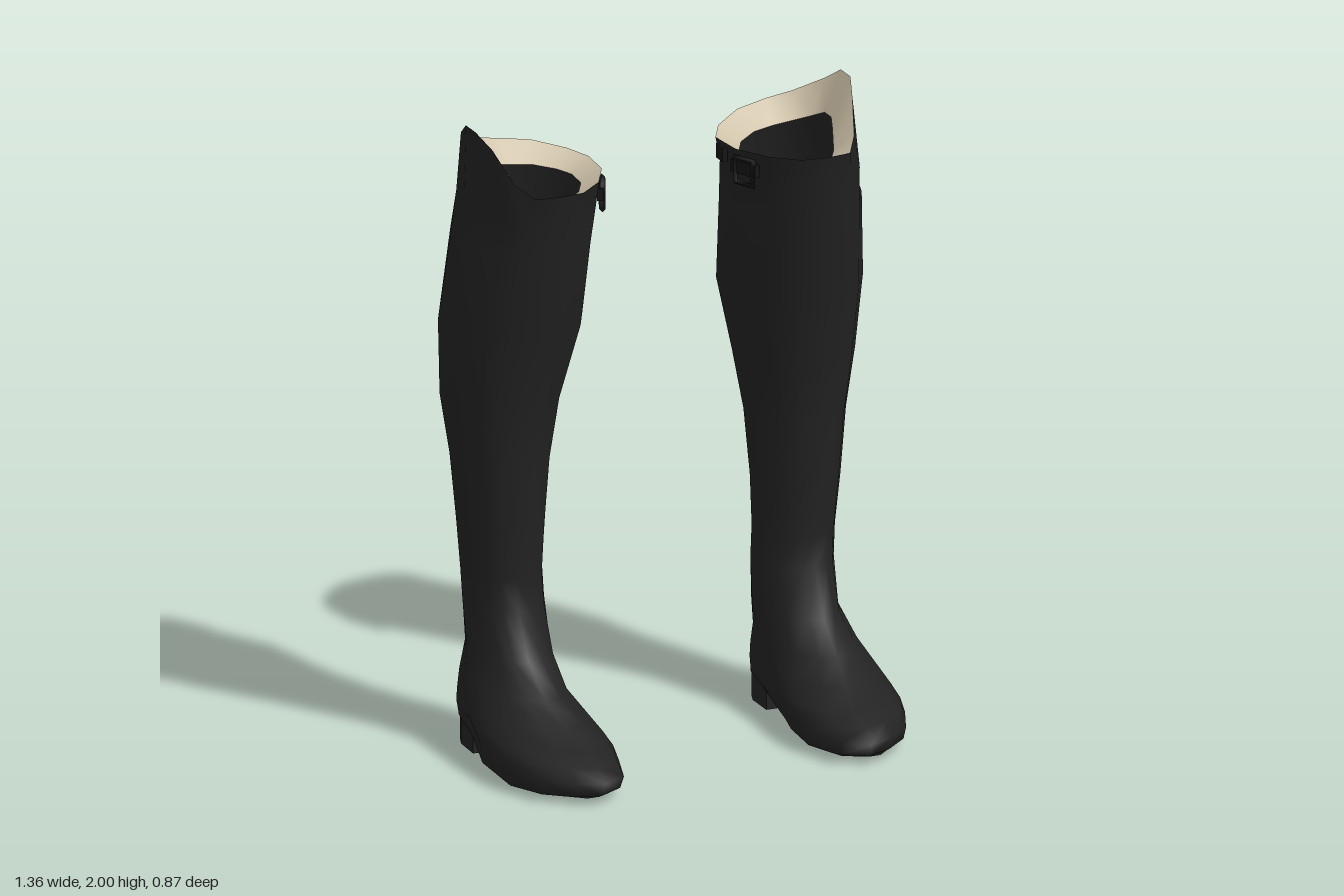
import * as THREE from 'three';

// Top rim of the left boot: x, y, z, running front -> outer side -> back -> inner side
const RIM = [
  [0.44, 1.84, 0.11], [0.52, 1.84, 0.10], [0.56, 1.87, 0.04], [0.595, 1.96, -0.05], [0.62, 2.0, -0.12],
  [0.62, 2.0, -0.19], [0.60, 1.95, -0.27], [0.53, 1.9, -0.34], [0.44, 1.885, -0.345], [0.34, 1.87, -0.33],
  [0.25, 1.85, -0.27], [0.21, 1.84, -0.2], [0.22, 1.84, -0.08], [0.28, 1.84, 0.03], [0.36, 1.84, 0.1],
];

// Footprint in the same order: x, z
const FOOT = [
  [0.44, 0.435], [0.52, 0.40], [0.60, 0.33], [0.655, 0.2], [0.655, 0.0], [0.62, -0.15], [0.60, -0.29], [0.55, -0.36],
  [0.48, -0.385], [0.41, -0.36], [0.365, -0.29], [0.35, -0.12], [0.33, 0.06], [0.31, 0.24], [0.36, 0.39],
];

// Cross-sections: height, inner x, outer x, back z, front z, blend from oval to footprint
const SHAFT = [
  [1.76, 0.228, 0.648, -0.385, 0.09, 0], [1.64, 0.236, 0.656, -0.41, 0.07, 0], [1.36, 0.242, 0.682, -0.435, 0.012, 0],
  [1.12, 0.30, 0.67, -0.42, -0.048, 0], [0.93, 0.335, 0.64, -0.395, -0.068, 0], [0.72, 0.352, 0.622, -0.37, -0.085, 0],
  [0.56, 0.36, 0.606, -0.37, -0.095, 0], [0.46, 0.355, 0.60, -0.37, -0.088, 0], [0.32, 0.352, 0.595, -0.375, -0.02, 0],
  [0.23, 0.352, 0.62, -0.39, 0.09, 0.4], [0.175, 0.33, 0.64, -0.388, 0.2, 0.7], [0.13, 0.317, 0.653, -0.385, 0.3, 1],
  [0.105, 0.312, 0.655, -0.38, 0.385, 1], [0.07, 0.31, 0.655, -0.38, 0.435, 1], [0.03, 0.318, 0.65, -0.375, 0.42, 1],
];
const SOLE = [0, 0.33, 0.64, -0.37, 0.40, 1];

// Scales a loop of 2D points to the range -1..1
function normalise(points) {
  const box = new THREE.Box2().setFromPoints(points.map(([x, z]) => new THREE.Vector2(x, z)));
  const c = box.getCenter(new THREE.Vector2());
  const h = box.getSize(new THREE.Vector2()).multiplyScalar(0.5);
  return points.map(([x, z]) => [(x - c.x) / h.x, (z - c.y) / h.y]);
}
const footUnit = normalise(FOOT);
const ovalUnit = normalise(normalise(RIM.map(([x, , z]) => [x, z])).map(([u, v]) => {
  const r = Math.hypot(u, v);
  return [u / r, v / r];
}));

// Height of the underside, raised over the arch and heel
function soleHeight(z) {
  if (z < -0.17) return 0.07 + 0.03 * Math.min(1, (-0.17 - z) / 0.2);
  if (z < 0.05) return 0.01 + 0.06 * ((0.05 - z) / 0.22) ** 1.2;
  return 0.01 + 0.01 * (z - 0.05) / 0.35;
}

function section([y, x0, x1, z0, z1, blend], scale = 1) {
  return ovalUnit.map(([u, v], i) => {
    const a = THREE.MathUtils.lerp(u, footUnit[i][0], blend) * scale;
    const b = THREE.MathUtils.lerp(v, footUnit[i][1], blend) * scale;
    const z = (z0 + z1) / 2 + b * (z1 - z0) / 2;
    return [(x0 + x1) / 2 + a * (x1 - x0) / 2, Math.max(y, soleHeight(z)), z];
  });
}

// Skin over a list of closed rings
function loft(rings, inward = false) {
  const n = rings[0].length, index = [];
  for (let i = 0; i < rings.length - 1; i++) {
    for (let j = 0; j < n; j++) {
      const a = i * n + j, b = i * n + (j + 1) % n, c = a + n, d = b + n;
      if (inward) index.push(a, b, c, b, d, c);
      else index.push(a, c, b, b, c, d);
    }
  }
  const geo = new THREE.BufferGeometry();
  geo.setAttribute('position', new THREE.Float32BufferAttribute(rings.flat(2), 3));
  geo.setIndex(index);
  geo.computeVertexNormals();
  return geo;
}

// Mirrored copy across x = 0 with corner order restored
function mirrored(geo) {
  const g = geo.index ? geo.toNonIndexed() : geo.clone();
  for (const key of ['position', 'normal']) {
    const attr = g.attributes[key], src = attr.clone();
    for (let i = 0; i < attr.count; i++) {
      const k = i % 3 === 0 ? i : i % 3 === 1 ? i + 1 : i - 1;
      attr.setXYZ(i, -src.getX(k), src.getY(k), src.getZ(k));
    }
  }
  g.clearGroups();
  return g;
}

export function createModel() {
  const leather = new THREE.MeshStandardMaterial({ name: 'blackLeather', color: 0x222222 });
  const liningMat = new THREE.MeshStandardMaterial({ name: 'creamLining', color: 0xcfc2a9 });
  const trim = new THREE.MeshStandardMaterial({ name: 'darkTrim', color: 0x161616 });

  const model = new THREE.Group();
  model.name = 'ridingBoots';
  const left = new THREE.Group(), right = new THREE.Group();
  left.name = 'leftBoot';
  right.name = 'rightBoot';
  model.add(left, right);
  const add = (name, geo, mat) => {
    [[left, geo], [right, mirrored(geo)]].forEach(([group, g]) => {
      const mesh = new THREE.Mesh(g, mat);
      mesh.name = name;
      group.add(mesh);
    });
  };

  // Shaft and foot, with a hollow below the outer peak
  const outer = SHAFT.map((s) => section(s));
  for (const [i, dent] of [[3, 0.045], [4, 0.05], [5, 0.025]]) outer[0][i][0] -= dent;
  const bottom = section(SOLE);
  add('bootUpper', loft([RIM, ...outer, bottom]), leather);

  // Sole
  const middle = bottom.map(([, y, z]) => [0.485, y, z]);
  add('sole', loft([bottom, middle]), leather);

  // Lining sloping in from the rim
  const liningEdge = RIM.map(([x, y, z]) => [
    0.42 + (x - 0.42) * 0.68, 1.8 + (y - 1.84) * 0.5, -0.12 + (z + 0.12) * 0.68]);
  add('lining', loft([RIM, liningEdge], true), liningMat);

  // Hollow inside, closed by an insole
  const inside = [2, 4, 6, 8].map((i) => section(SHAFT[i], 0.82));
  const insole = inside[3].map(() => [0.475, 0.3, -0.19]);
  add('interior', loft([liningEdge, ...inside, insole], true), leather);

  // Heel block
  const heel = new THREE.Shape();
  heel.moveTo(0.365, -0.17);
  heel.lineTo(0.365, -0.27);
  heel.bezierCurveTo(0.38, -0.39, 0.58, -0.39, 0.6, -0.27);
  heel.lineTo(0.605, -0.17);
  const heelGeo = new THREE.ExtrudeGeometry(heel, { depth: 0.1, bevelEnabled: false, curveSegments: 8 });
  heelGeo.rotateX(Math.PI / 2).translate(0, 0.1, 0);
  add('heel', heelGeo, leather);

  // Strap, buckle and keeper on the inner side of the rim
  const turn = -Math.PI / 2 + 0.4;
  const strap = new THREE.BoxGeometry(0.1, 0.04, 0.02).rotateY(turn).translate(0.24, 1.785, -0.05);
  add('strap', strap, trim);
  const buckle = new THREE.TorusGeometry(0.05, 0.01, 4, 4).rotateZ(Math.PI / 4)
    .scale(1, 1.1, 1).rotateY(turn).translate(0.235, 1.775, -0.045);
  add('buckle', buckle, trim);
  const keeper = new THREE.BoxGeometry(0.05, 0.045, 0.016).rotateY(-Math.PI / 2).translate(0.217, 1.80, -0.17);
  add('strapKeeper', keeper, trim);

  return model;
}
